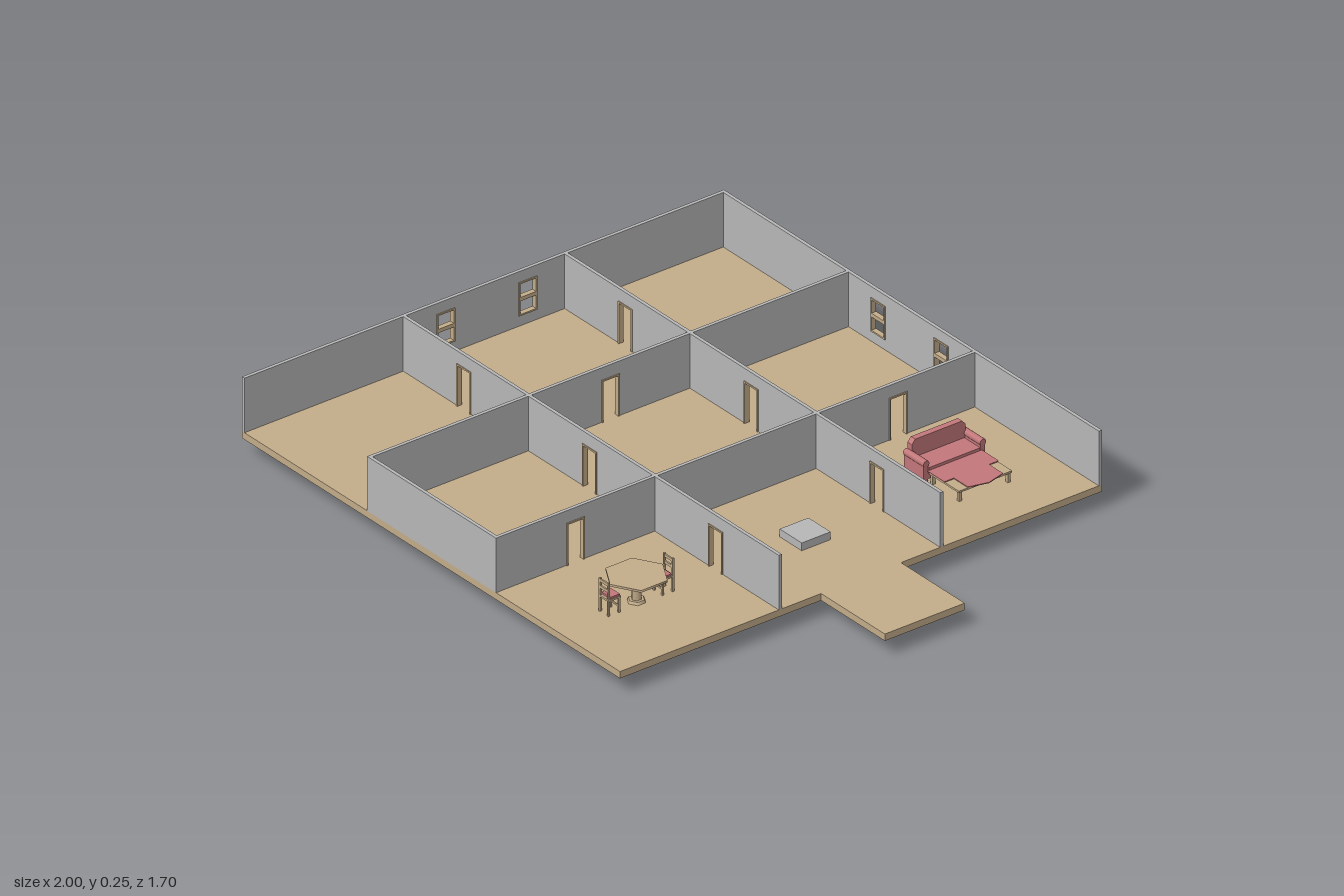
import * as THREE from 'three';

const mat = (name, color) => {
  const m = new THREE.MeshStandardMaterial({ color });
  m.name = name;
  return m;
};

export function createModel() {
  const wood = mat('tan wood', 0xc4ad8b);
  const plaster = mat('grey plaster', 0xb8b8b8);
  const fabric = mat('rose fabric', 0xc4787b);
  const house = new THREE.Group();
  house.name = 'floorPlanHouse';
  const FLOOR = 0.075, TOP = 0.25, T = 0.011;

  const add = (parent, name, geo, material) => {
    const m = new THREE.Mesh(geo, material);
    m.name = name;
    parent.add(m);
    return m;
  };
  // Box given by its lower and upper limits on each axis
  const box = (parent, name, material, x0, x1, y0, y1, z0, z1) => {
    const m = add(parent, name, new THREE.BoxGeometry(x1 - x0, y1 - y0, z1 - z0), material);
    m.position.set((x0 + x1) / 2, (y0 + y1) / 2, (z0 + z1) / 2);
    return m;
  };
  const group = (name, x = 0, y = 0, z = 0) => {
    const g = new THREE.Group();
    g.name = name;
    g.position.set(x, y, z);
    house.add(g);
    return g;
  };

  // Floor slab, porch and entrance block
  box(house, 'floor', wood, -0.997, 0.712, 0.053, FLOOR, -0.852, 0.85);
  box(house, 'porch', wood, 0.712, 1, 0.053, FLOOR, -0.142, 0.14);
  box(house, 'blockBase', wood, 0.39, 0.49, 0, FLOOR, -0.067, 0.035);
  box(house, 'blockTop', plaster, 0.39, 0.49, FLOOR, 0.1, -0.067, 0.035);

  // Wall with door notches and window holes, plus their wooden frames.
  // A wall along z is drawn along x and turned.
  const D = 0.032, DOOR_TOP = 0.21, W0 = 0.108, W1 = 0.215, F = 0.005;
  const wall = (name, alongZ, pos, from, to, doors = [], windows = []) => {
    const g = group(name, alongZ ? pos : 0, 0, alongZ ? 0 : pos);
    if (alongZ) g.rotation.y = -Math.PI / 2;
    const s = new THREE.Shape();
    s.moveTo(from, FLOOR);
    for (const c of doors) {
      s.lineTo(c - D, FLOOR);
      s.lineTo(c - D, DOOR_TOP);
      s.lineTo(c + D, DOOR_TOP);
      s.lineTo(c + D, FLOOR);
    }
    s.lineTo(to, FLOOR);
    s.lineTo(to, TOP);
    s.lineTo(from, TOP);
    s.closePath();
    for (const c of windows) {
      const h = new THREE.Path();
      h.moveTo(c - D, W0);
      h.lineTo(c - D, W1);
      h.lineTo(c + D, W1);
      h.lineTo(c + D, W0);
      h.closePath();
      s.holes.push(h);
    }
    const geo = new THREE.ExtrudeGeometry(s, { depth: T, bevelEnabled: false });
    geo.translate(0, 0, -T / 2);
    add(g, 'wallPanel', geo, plaster);
    const z = T / 2 + 0.003;
    const frame = (kind, c, y0, y1) => {
      for (const k of [-1, 1]) {
        const x = c + k * (D - F / 2);
        box(g, kind + 'Jamb', wood, x - F / 2, x + F / 2, y0, y1, -z, z);
      }
      box(g, kind + 'Head', wood, c - D, c + D, y1 - F, y1, -z, z);
    };
    for (const c of doors) frame('door', c, FLOOR, DOOR_TOP);
    for (const c of windows) {
      frame('window', c, W0, W1);
      box(g, 'windowSill', wood, c - D, c + D, W0, W0 + F, -z, z);
      const mid = (W0 + W1) / 2;
      box(g, 'windowBar', wood, c - D, c + D, mid - 0.006, mid + 0.006, -z, z);
    }
  };
  wall('backWall', false, -0.846, -0.997, 0.712, [], [-0.285, 0]);
  wall('rightOuterWall', true, -0.991, -0.85, 0.85, [], [-0.15, 0.14]);
  wall('frontWall', false, 0.845, -0.43, 0.152);
  for (const z of [-0.286, 0.284]) wall('crossWall', false, z, -0.99, 0.712, [-0.71, -0.142, 0.427]);
  wall('rightInnerWall', true, -0.425, -0.845, 0.848, [0]);
  wall('leftInnerWall', true, 0.146, -0.845, 0.848, [-0.57, 0.57]);

  // Sofa facing +x
  const sofa = group('sofa', 0.315, FLOOR, -0.57);
  box(sofa, 'sofaBase', fabric, 0, 0.088, 0.01, 0.032, -0.095, 0.095);
  box(sofa, 'sofaCushion', fabric, 0.018, 0.092, 0.032, 0.048, -0.09, 0.09);
  const back = new THREE.Shape();
  back.moveTo(-0.095, 0.01);
  back.lineTo(0.095, 0.01);
  back.lineTo(0.095, 0.09);
  back.lineTo(0.083, 0.104);
  back.lineTo(-0.083, 0.104);
  back.lineTo(-0.095, 0.09);
  back.closePath();
  const backGeo = new THREE.ExtrudeGeometry(back, { depth: 0.02, bevelEnabled: false });
  add(sofa, 'sofaBack', backGeo, fabric).rotation.y = Math.PI / 2;
  for (const k of [-1, 1]) {
    const z = k * 0.1;
    box(sofa, 'sofaArm', fabric, 0, 0.09, 0.005, 0.06, z - 0.008, z + 0.008);
    const roll = add(sofa, 'sofaArmRoll', new THREE.CylinderGeometry(0.011, 0.011, 0.092, 8), fabric);
    roll.rotation.z = Math.PI / 2;
    roll.position.set(0.046, 0.062, z);
    for (const x of [0.008, 0.08]) box(sofa, 'sofaFoot', wood, x - 0.005, x + 0.005, 0, 0.008, z - 0.005, z + 0.005);
  }

  // Low table with a pointed cloth
  const low = group('lowTable', 0, FLOOR, -0.57);
  box(low, 'lowTableTop', wood, 0.41, 0.546, 0.03, 0.036, -0.094, 0.094);
  for (const x of [0.418, 0.538])
    for (const z of [-0.086, 0.086]) box(low, 'lowTableLeg', wood, x - 0.005, x + 0.005, 0, 0.03, z - 0.005, z + 0.005);
  box(low, 'clothPanel', fabric, 0.407, 0.483, 0.036, 0.039, -0.096, 0.096);
  const cloth = new THREE.Shape();
  cloth.moveTo(0.483, -0.062);
  cloth.lineTo(0.546, -0.062);
  cloth.lineTo(0.562, 0);
  cloth.lineTo(0.546, 0.062);
  cloth.lineTo(0.483, 0.062);
  cloth.closePath();
  const clothGeo = new THREE.ExtrudeGeometry(cloth, { depth: 0.003, bevelEnabled: false });
  clothGeo.rotateX(-Math.PI / 2).translate(0, 0.036, 0);
  add(low, 'clothPoint', clothGeo, fabric);

  // Six-sided dining table on a pedestal
  const table = group('diningTable', 0.428, FLOOR, 0.57);
  add(table, 'tableTop', new THREE.CylinderGeometry(0.093, 0.093, 0.007, 6), wood).position.y = 0.082;
  add(table, 'tablePedestal', new THREE.CylinderGeometry(0.015, 0.015, 0.08, 6), wood).position.y = 0.04;
  add(table, 'tableFoot', new THREE.CylinderGeometry(0.024, 0.028, 0.008, 6), wood).position.y = 0.004;

  // Two chairs facing the table
  for (const k of [-1, 1]) {
    const chair = group('chair', 0.428, FLOOR, 0.57);
    if (k < 0) chair.rotation.y = Math.PI;
    box(chair, 'chairSeat', wood, -0.022, 0.022, 0.046, 0.052, 0.072, 0.116);
    box(chair, 'chairCushion', fabric, -0.02, 0.02, 0.052, 0.058, 0.074, 0.108);
    for (const x of [-0.019, 0.019]) {
      box(chair, 'chairFrontLeg', wood, x - 0.003, x + 0.003, 0, 0.046, 0.074, 0.08);
      box(chair, 'chairBackPost', wood, x - 0.003, x + 0.003, 0, 0.106, 0.11, 0.117);
    }
    for (const y of [0.074, 0.095]) box(chair, 'chairBackRail', wood, -0.018, 0.018, y, y + 0.009, 0.111, 0.116);
    box(chair, 'chairStretcher', wood, -0.018, 0.018, 0.018, 0.023, 0.075, 0.079);
  }
  return house;
}
